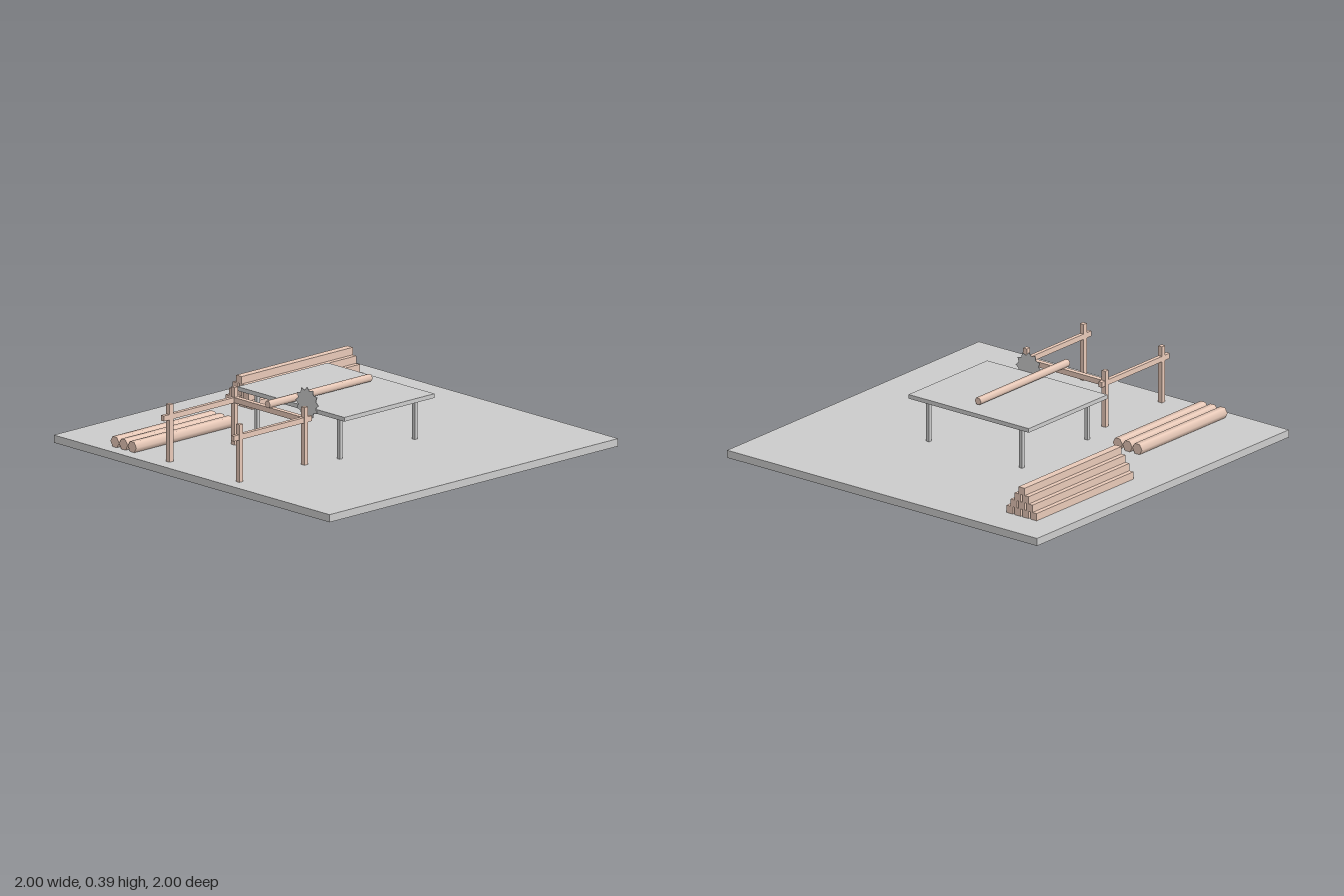
import * as THREE from 'three';

const grey = new THREE.MeshStandardMaterial({ color: 0xcccccc });
const wood = new THREE.MeshStandardMaterial({ color: 0xe8c9b8 });

function add(parent, name, geometry, material, x, y, z) {
  const mesh = new THREE.Mesh(geometry, material);
  mesh.name = name;
  mesh.position.set(x, y, z);
  parent.add(mesh);
  return mesh;
}

function addGroup(parent, name) {
  const group = new THREE.Group();
  group.name = name;
  parent.add(group);
  return group;
}

const box = (w, h, d) => new THREE.BoxGeometry(w, h, d);

// Six-sided log lying along z, flat side down
const logGeometry = (radius, length) =>
  new THREE.CylinderGeometry(radius, radius, length, 6).rotateY(Math.PI / 6).rotateX(Math.PI / 2);

// Toothed disc facing z
function bladeGeometry(outer, inner, teeth, thickness) {
  const points = [];
  for (let i = 0; i < teeth * 2; i++) {
    const a = Math.PI / 2 + (i * Math.PI) / teeth;
    const r = i % 2 ? inner : outer;
    points.push(new THREE.Vector2(r * Math.cos(a), r * Math.sin(a)));
  }
  return new THREE.ExtrudeGeometry(new THREE.Shape(points), { depth: thickness, bevelEnabled: false })
    .translate(0, 0, -thickness / 2);
}

export function createModel() {
  const model = new THREE.Group();
  model.name = 'sawmill';
  const floor = 0.04;

  add(model, 'ground', box(2, floor, 2), grey, 0, floor / 2, 0);

  // Saw table with four legs
  const table = addGroup(model, 'sawTable');
  add(table, 'tableTop', box(0.775, 0.022, 0.625), grey, 0, 0.272, 0);
  for (const x of [-0.3, 0.3])
    for (const z of [-0.26, 0.26])
      add(table, 'tableLeg', box(0.02, 0.222, 0.02), grey, x, 0.151, z);

  // Blade on the front edge and the log being cut
  add(model, 'sawBlade', bladeGeometry(0.083, 0.066, 12, 0.004), grey, 0.123, 0.305, 0.317);
  add(model, 'tableLog', logGeometry(0.02, 0.71), wood, 0.015, 0.308, 0.134);

  // Feeding frame: four posts, two side rails and a crossbar
  const frame = addGroup(model, 'feedFrame');
  for (const x of [-0.253, 0.253]) {
    for (const z of [0.46, 0.91])
      add(frame, 'framePost', box(0.024, 0.3, 0.026), wood, x, 0.19, z);
    add(frame, 'sideRail', box(0.022, 0.028, 0.54), wood, x, 0.274, 0.69);
  }
  add(frame, 'crossbar', box(0.506, 0.028, 0.028), wood, 0, 0.274, 0.46);

  // Logs on the ground
  const logs = addGroup(model, 'groundLogs');
  for (let i = 0; i < 3; i++)
    add(logs, 'log', logGeometry(0.031, 0.68), wood, -0.629 + i * 0.063, floor + 0.027, 0.592);

  // Stepped stack of cut beams
  const stack = addGroup(model, 'beamStack');
  const rows = 4, pitch = 0.051, height = 0.039;
  for (let row = 0; row < rows; row++) {
    const count = rows - row;
    for (let i = 0; i < count; i++)
      add(stack, 'beam', box(0.04, height, 0.77), wood,
        -0.743 + (i - (count - 1) / 2) * pitch, floor + (row + 0.5) * height, -0.422);
  }

  return model;
}
